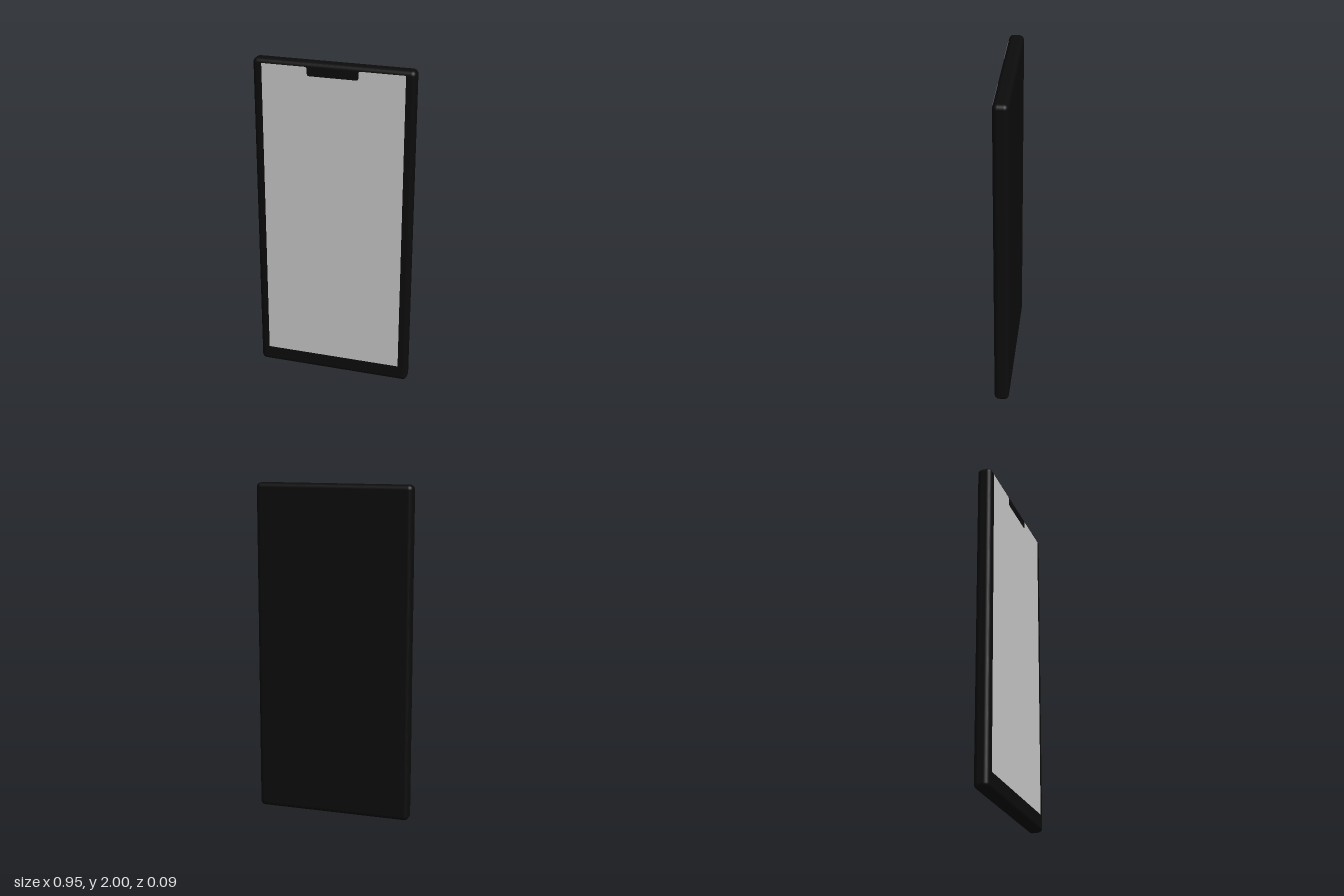
import * as THREE from 'three';
import { RoundedBoxGeometry } from 'three/addons/geometries/RoundedBoxGeometry.js';

const WIDTH = 0.95, HEIGHT = 2, DEPTH = 0.088;

// Display outline with a flared, round-cornered notch in the top edge
function screenShape() {
  const w = 0.42, bottom = 0.1, top = 1.975, notch = 0.15, notchY = 1.922, r = 0.015;
  const s = new THREE.Shape();
  s.moveTo(-w, bottom);
  s.lineTo(w, bottom);
  s.lineTo(w, top);
  s.lineTo(notch + r, top);
  s.quadraticCurveTo(notch, top, notch, top - r);
  s.lineTo(notch, notchY + r);
  s.quadraticCurveTo(notch, notchY, notch - r, notchY);
  s.lineTo(-notch + r, notchY);
  s.quadraticCurveTo(-notch, notchY, -notch, notchY + r);
  s.lineTo(-notch, top - r);
  s.quadraticCurveTo(-notch, top, -notch - r, top);
  s.lineTo(-w, top);
  s.closePath();
  return s;
}

export function createModel() {
  const model = new THREE.Group();
  model.name = 'phone';

  // Slim case with rounded edges
  const body = new THREE.Mesh(
    new RoundedBoxGeometry(WIDTH, HEIGHT, DEPTH, 5, 0.028),
    new THREE.MeshStandardMaterial({ color: 0x0c0c0c })
  );
  body.name = 'body';
  body.position.y = HEIGHT / 2;
  model.add(body);

  // Display lying just above the front face
  const screen = new THREE.Mesh(
    new THREE.ShapeGeometry(screenShape(), 6),
    new THREE.MeshStandardMaterial({ color: 0xcccccc, side: THREE.DoubleSide })
  );
  screen.name = 'screen';
  screen.position.z = DEPTH / 2 + 0.001;
  model.add(screen);

  return model;
}
